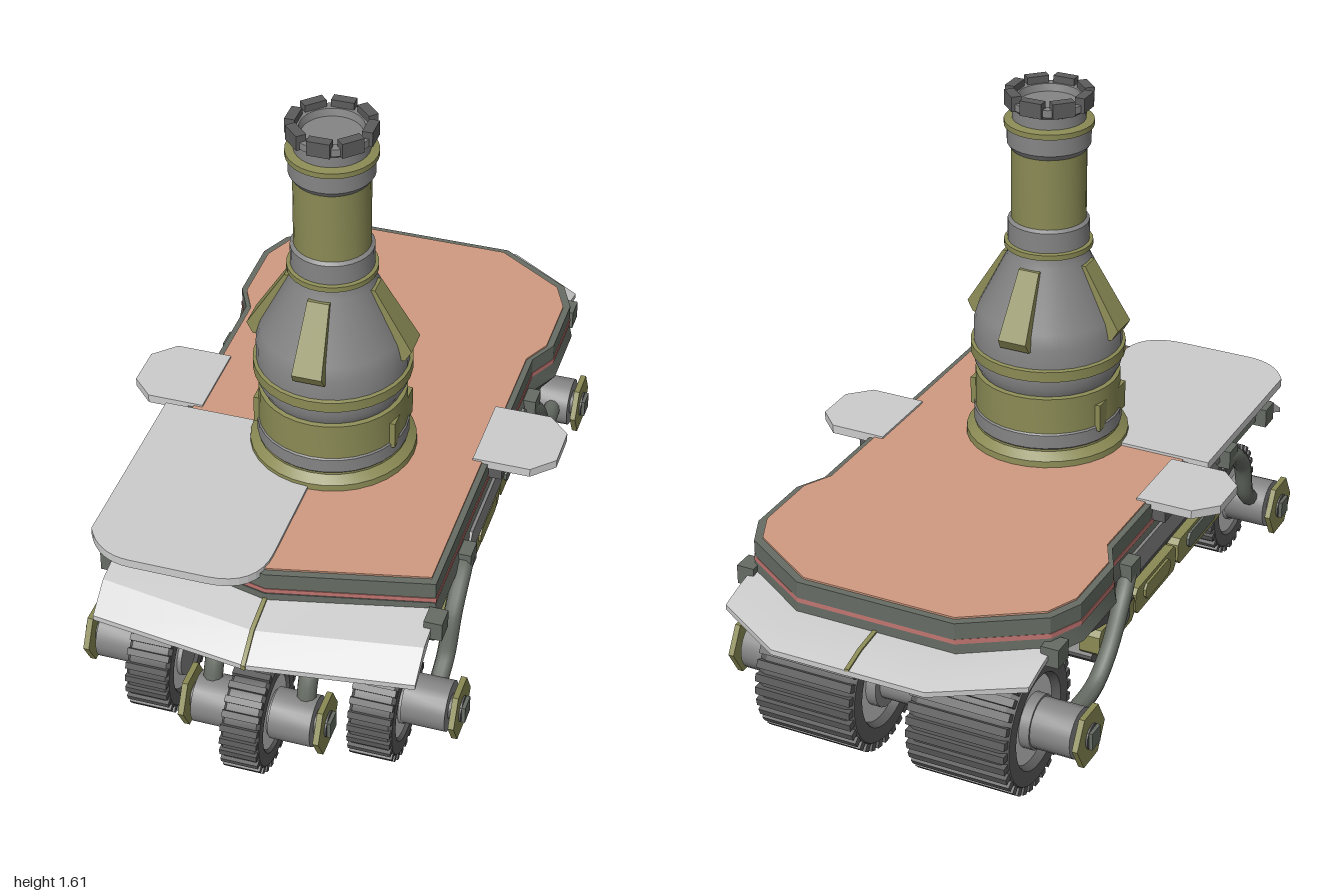
import * as THREE from 'three';
import { mergeGeometries, toCreasedNormals } from 'three/addons/utils/BufferGeometryUtils.js';

const mat = (color) => new THREE.MeshStandardMaterial({ color, side: THREE.DoubleSide });
const PLATE = mat(0xcccccc), METAL = mat(0x858585), DARK = mat(0x5c5c5c), OLIVE = mat(0x8a8a55);
const TRIM = mat(0x666c64), COPPER = mat(0xd09a80), PINK = mat(0xc07570);

export function createModel() {
  const model = new THREE.Group();

  const add = (name, geo, material, x = 0, y = 0, z = 0, parent = model) => {
    const mesh = new THREE.Mesh(geo, material);
    mesh.name = name;
    mesh.position.set(x, y, z);
    parent.add(mesh);
    return mesh;
  };
  const box = (w, h, d) => new THREE.BoxGeometry(w, h, d);
  const lathe = (pts, n = 32) => toCreasedNormals(
    new THREE.LatheGeometry(pts.map(([r, y]) => new THREE.Vector2(r, y)), n), 0.5);
  // cylinder lying along x
  const rod = (r0, r1, len, n = 20) => toCreasedNormals(
    new THREE.CylinderGeometry(r1, r0, len, n).rotateZ(-Math.PI / 2), 0.6);
  // flat slab from an (x, z) outline, extruded downwards
  const slab = (shape, depth) =>
    new THREE.ExtrudeGeometry(shape, { depth, bevelEnabled: false, curveSegments: 8 }).rotateX(Math.PI / 2);
  const poly = (pts) => new THREE.Shape(pts.map(([x, z]) => new THREE.Vector2(x, z)));
  const tube = (pts, r) => new THREE.TubeGeometry(
    new THREE.CatmullRomCurve3(pts.map((p) => new THREE.Vector3(...p))), 24, r, 10);
  // closed skin through equal-sized rings
  const loft = (rings, crease = 0.5) => {
    const n = rings[0].length, out = [];
    const tri = (...ps) => ps.forEach((p) => out.push(...p));
    for (let k = 0; k < rings.length - 1; k++) {
      for (let i = 0; i < n; i++) {
        const j = (i + 1) % n, a = rings[k], b = rings[k + 1];
        tri(a[i], a[j], b[i]);
        tri(a[j], b[j], b[i]);
      }
    }
    const first = rings[0], last = rings[rings.length - 1];
    for (let i = 1; i < n - 1; i++) {
      tri(first[0], first[i + 1], first[i]);
      tri(last[0], last[i], last[i + 1]);
    }
    const g = new THREE.BufferGeometry();
    g.setAttribute('position', new THREE.Float32BufferAttribute(out, 3));
    g.computeVertexNormals();
    return toCreasedNormals(g, crease);
  };

  // deck outline, mirrored across x
  const half = [[0.22, -0.84], [0.42, -0.71], [0.46, -0.62], [0.46, -0.42], [0.42, -0.34], [0.42, 0.65]];
  const outline = [...half, [0, 0.745], ...half.map(([x, z]) => [-x, z]).reverse()];
  const fit = (sx, front, back) => outline.map(([x, z]) =>
    [x * sx, back + (z + 0.84) / 1.585 * (front - back)]);
  const ring = (y, sx, front, back) => fit(sx, front, back).map(([x, z]) => [x, y, z]);

  // deck and hull
  add('deckFloor', slab(poly(fit(0.99, 0.735, -0.83)), 0.02), COPPER, 0, 0.582);
  add('deckRim', slab(poly(fit(1.03, 0.755, -0.85)), 0.048), TRIM, 0, 0.577);
  add('stripe', slab(poly(fit(1.035, 0.757, -0.85)), 0.014), PINK, 0, 0.53);
  add('hullTrim', loft([ring(0.517, 1.03, 0.76, -0.85), ring(0.47, 1.05, 0.76, -0.85),
    ring(0.44, 0.98, 0.73, -0.81)]), TRIM);
  add('hull', loft([ring(0.45, 0.98, 0.74, -0.83), ring(0.38, 0.94, 0.63, -0.61),
    ring(0.31, 0.9, 0.5, -0.38), ring(0.25, 0.83, 0.46, -0.35), ring(0.22, 0.68, 0.4, -0.3)], 0.7), DARK);

  // plates on the deck: one large, two side wings
  const big = new THREE.Shape();
  big.moveTo(-0.49, 0.17);
  big.lineTo(0, 0.17);
  big.lineTo(0, 0.68);
  big.quadraticCurveTo(0, 0.82, -0.14, 0.82);
  big.lineTo(-0.35, 0.82);
  big.quadraticCurveTo(-0.44, 0.82, -0.49, 0.73);
  add('frontDeckPlate', slab(big, 0.025), PLATE, 0, 0.59);
  for (const s of [-1, 1]) {
    add('sideWing', slab(poly([[0.39, -0.09], [0.55, -0.09], [0.61, -0.03], [0.61, 0.09], [0.55, 0.15],
      [0.39, 0.15]].map(([x, z]) => [s * x, z])), 0.025), PLATE, 0, 0.588);
    add('wingBracket', box(0.07, 0.05, 0.22), DARK, s * 0.435, 0.55, 0.03);
  }

  // bent bumper plates, front and back
  const skin = (x, top) => [...top, ...top.slice().reverse().map(([y, z]) => [y - 0.015, z])]
    .map(([y, z]) => [x, y, z]);
  const frontEdge = [[0.5, 0.66], [0.475, 0.79], [0.415, 0.87]];
  add('frontBumper', loft([skin(-0.44, frontEdge),
    skin(0, [[0.5, 0.74], [0.475, 0.86], [0.42, 0.935]]), skin(0.44, frontEdge)], 0.3), PLATE);
  const outer = [[0.49, -0.72], [0.475, -0.79], [0.455, -0.86]];
  const inner = [[0.49, -0.84], [0.48, -0.93], [0.46, -1]];
  add('rearBumper', loft([skin(0.44, outer), skin(0.22, inner), skin(-0.22, inner), skin(-0.44, outer)], 0.3), PLATE);
  const seam = (top, w) => [skin(-w, top), skin(w, top)];
  add('frontSeam', loft(seam([[0.505, 0.74], [0.48, 0.862], [0.423, 0.94]], 0.006)), OLIVE);
  add('rearSeam', loft(seam([[0.495, -0.84], [0.485, -0.93], [0.465, -1]], -0.006)), OLIVE);

  // side equipment
  const panel = (w, h, c, depth) => new THREE.ExtrudeGeometry(poly([[-w + c, -h], [w - c, -h], [w, -h + c],
    [w, h - c], [w - c, h], [-w + c, h], [-w, h - c], [-w, -h + c]]), { depth, bevelEnabled: false })
    .translate(0, 0, -depth / 2).rotateY(Math.PI / 2);
  for (const s of [-1, 1]) {
    for (const [z, w] of [[0.345, 0.165], [0.025, 0.14], [-0.24, 0.115]]) {
      add('sideLocker', panel(w, 0.04, 0.015, 0.06), OLIVE, s * 0.375, 0.27, z);
      add('lockerDoor', panel(w * 0.62, 0.024, 0.014, 0.02), z === 0.025 ? OLIVE : TRIM, s * 0.402, 0.275, z);
    }
    for (const z of [0.4, -0.26]) add('lockerFoot', panel(0.09, 0.025, 0.02, 0.08), DARK, s * 0.34, 0.222, z);
    add('lockerRail', box(0.03, 0.03, 0.8), DARK, s * 0.375, 0.27, 0.07);
    add('sidePlate', panel(0.31, 0.035, 0.03, 0.03), METAL, s * 0.43, 0.46, 0.06);
    for (const z of [0.7, 0.42, -0.27, -0.72]) add('sideBracket', box(0.05, 0.055, 0.06), TRIM, s * 0.445, 0.48, z);
  }

  // wheels
  const wheel = (name, R, w, x, y, z) => {
    const g = new THREE.Group();
    g.name = name;
    g.position.set(x, y, z);
    model.add(g);
    const side = [[0.62, 0.85], [0.67, 1], [0.88, 1], [0.94, 0.85]].map(([r, t]) => [r * R, t * w]);
    add('tyre', lathe([...side.map(([r, t]) => [r, -t]), ...side.slice().reverse()], 40)
      .rotateZ(-Math.PI / 2), DARK, 0, 0, 0, g);
    add('rim', rod(0.64 * R, 0.64 * R, w * 1.7, 32), PLATE, 0, 0, 0, g);
    add('wheelCentre', rod(0.38 * R, 0.38 * R, w * 2.1), METAL, 0, 0, 0, g);
    const treads = [], n = Math.round(R * 160);
    for (let i = 0; i < n; i++) {
      treads.push(box(w * 1.96, 0.11 * R, R * 0.11).translate(0, 0.945 * R, 0).rotateX(i / n * Math.PI * 2));
    }
    add('treads', mergeGeometries(treads), DARK, 0, 0, 0, g);
  };
  wheel('frontCentreWheel', 0.165, 0.052, 0, 0.175, 0.835);

  // hub cap: sleeve, hexagonal flange and square bolt
  const hub = (s, x, len, y, z) => {
    add('hubSleeve', rod(0.07, 0.07, len), METAL, s * (x + len / 2), y, z);
    add('hubPin', rod(0.035, 0.035, 0.07), DARK, s * (x + len), y, z);
    add('hubFlange', rod(0.085, 0.085, 0.016, 6), OLIVE, s * (x + len + 0.022), y, z);
    add('hubBolt', box(0.03, 0.05, 0.05), TRIM, s * (x + len + 0.03), y, z);
  };
  for (const s of [-1, 1]) {
    wheel('frontSideWheel', 0.165, 0.06, s * 0.31, 0.175, 0.69);
    wheel('rearWheel', 0.2, 0.145, s * 0.225, 0.205, -0.655);
    hub(s, 0.37, 0.12, 0.19, 0.69);
    hub(s, 0.37, 0.12, 0.205, -0.655);
    hub(s, 0.05, 0.115, 0.175, 0.835);
    add('frontStrut', tube([[s * 0.445, 0.475, 0.41], [s * 0.45, 0.46, 0.46], [s * 0.45, 0.39, 0.54],
      [s * 0.445, 0.27, 0.59], [s * 0.44, 0.21, 0.66]], 0.025), TRIM);
    add('rearStrut', tube([[s * 0.445, 0.47, -0.26], [s * 0.455, 0.42, -0.32], [s * 0.455, 0.3, -0.41],
      [s * 0.45, 0.235, -0.49], [s * 0.44, 0.215, -0.63]], 0.025), TRIM);
    add('centreStrut', tube([[s * 0.13, 0.19, 0.83], [s * 0.13, 0.3, 0.79], [s * 0.13, 0.42, 0.62]], 0.027), TRIM);
  }
  add('rearAxle', rod(0.05, 0.05, 0.4), METAL, 0, 0.205, -0.655);

  // tower, stacked from turned sections
  const tower = new THREE.Group();
  tower.name = 'tower';
  tower.position.set(0, 0, 0.17);
  model.add(tower);
  const turned = (name, material, pts) => add(name, lathe(pts), material, 0, 0, 0, tower);
  turned('towerBase', OLIVE, [[0.23, 0.575], [0.228, 0.6], [0.205, 0.62], [0.203, 0.78], [0.185, 0.785]]);
  turned('towerFoot', METAL, [[0.204, 0.625], [0.208, 0.63], [0.208, 0.67], [0.204, 0.675]]);
  turned('towerWaist', METAL, [[0.19, 0.78], [0.205, 0.81], [0.205, 0.84]]);
  turned('towerBelt', OLIVE, [[0.2, 0.835], [0.216, 0.84], [0.216, 0.87], [0.2, 0.876]]);
  turned('towerShoulder', METAL, [[0.207, 0.87], [0.207, 0.93], [0.195, 0.97], [0.115, 1.13], [0.11, 1.16]]);
  turned('lowerCollar', OLIVE, [[0.1, 1.155], [0.122, 1.16], [0.122, 1.175], [0.1, 1.18]]);
  turned('neckFoot', METAL, [[0.112, 1.175], [0.112, 1.235], [0.1, 1.245]]);
  turned('neck', OLIVE, [[0.103, 1.235], [0.103, 1.45]]);
  turned('neckHead', METAL, [[0.1, 1.44], [0.114, 1.46], [0.114, 1.51]]);
  turned('upperCollar', OLIVE, [[0.1, 1.505], [0.122, 1.51], [0.122, 1.525], [0.1, 1.53]]);
  turned('crown', METAL, [[0.1, 1.525], [0.1, 1.56], [0.112, 1.57], [0.112, 1.59], [0.085, 1.59], [0.08, 1.57], [0, 1.57]]);
  for (let i = 0; i < 8; i++) {
    const a = i * Math.PI / 4;
    const tooth = add('crownTooth', box(0.062, 0.042, 0.028), DARK, Math.sin(a) * 0.103, 1.589, Math.cos(a) * 0.103, tower);
    tooth.rotation.y = a;
  }

  // four tapered fins on the shoulder and four panels on the base
  const finRing = (y, r, w) => [[-w, y, 0.09], [-w, y, r], [w, y, r], [w, y, 0.09]];
  for (let i = 0; i < 4; i++) {
    const a = i * Math.PI / 2;
    add('shoulderFin', loft([finRing(1.125, 0.125, 0.03), finRing(0.955, 0.23, 0.041),
      finRing(0.925, 0.212, 0.044)], 0.1), OLIVE, 0, 0, 0, tower).rotation.y = a;
    if (i % 2) {
      add('basePanel', box(0.17, 0.08, 0.03), OLIVE, Math.sin(a) * 0.185, 0.7, 0, tower).rotation.y = a;
    }
  }
  return model;
}
